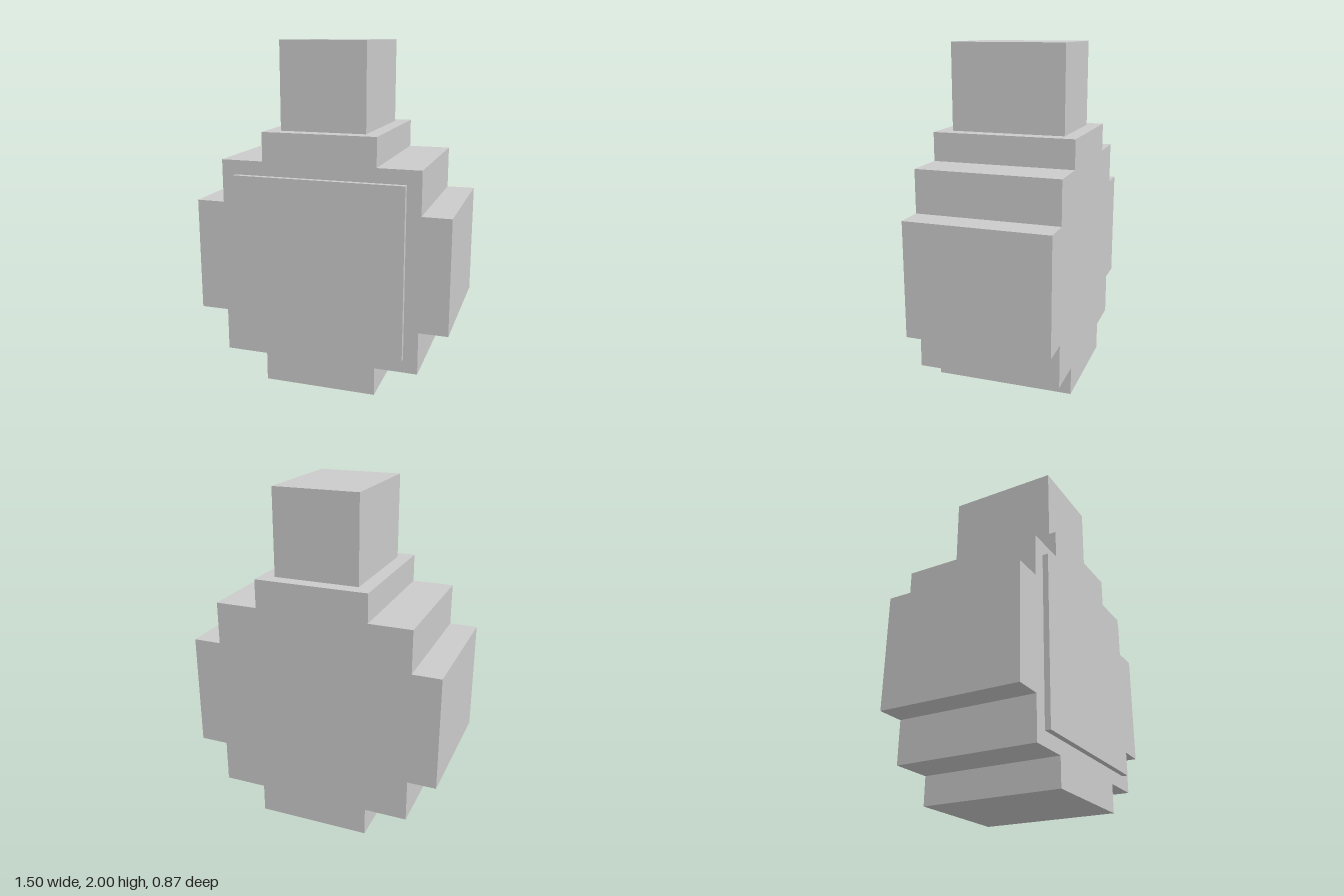
import * as THREE from 'three';

export function createModel() {
  const group = new THREE.Group();
  const material = new THREE.MeshStandardMaterial({ color: 0xcccccc, flatShading: true });

  const add = (name, geometry, x, y, z) => {
    const mesh = new THREE.Mesh(geometry, material);
    mesh.name = name;
    mesh.position.set(x, y, z);
    group.add(mesh);
  };

  // Body: stepped round outline, mirrored left to right and extruded in depth
  const half = [
    [0.333, 0], [0.333, 0.167], [0.583, 0.167], [0.583, 0.417], [0.75, 0.417],
    [0.75, 1.083], [0.583, 1.083], [0.583, 1.333], [0.333, 1.333], [0.333, 1.5],
  ];
  const mirrored = half.map(([x, y]) => [-x, y]).reverse();
  const outline = new THREE.Shape([...half, ...mirrored].map(([x, y]) => new THREE.Vector2(x, y)));
  add('body', new THREE.ExtrudeGeometry(outline, { depth: 0.833, bevelEnabled: false }), 0, 0, -0.433);

  // Thin square label panel on the front
  add('frontPanel', new THREE.BoxGeometry(1, 1, 0.033), 0, 0.75, 0.4165);

  // Neck block on top
  add('neck', new THREE.BoxGeometry(0.5, 0.5, 0.667), 0, 1.75, -0.0165);

  return group;
}
